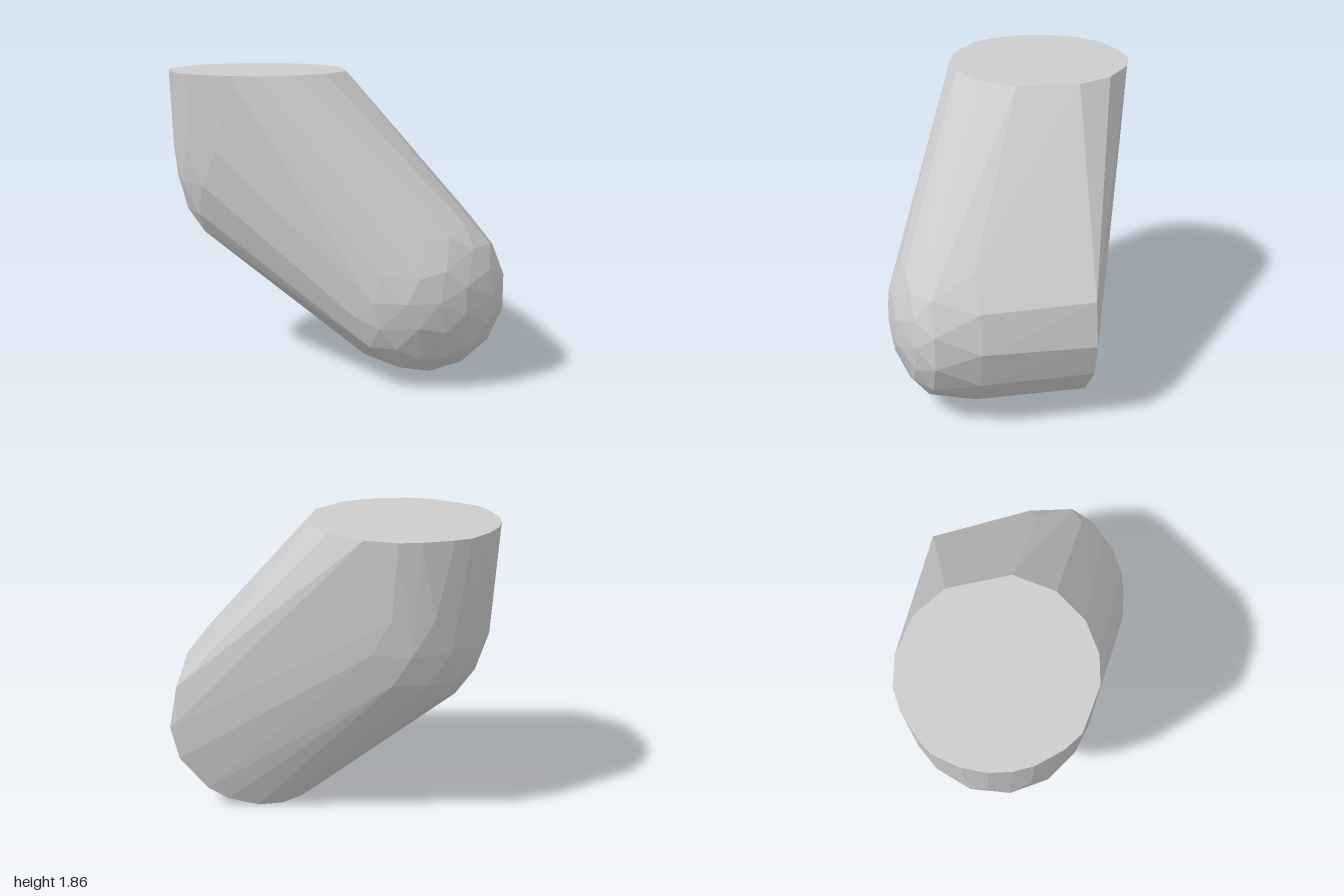
import * as THREE from 'three';
import { ConvexGeometry } from 'three/addons/geometries/ConvexGeometry.js';

const SIDES = 14;

// Rounded end cap, as rings of [height along axis, radius]
function domePoints(rings, place) {
  const points = [];
  rings.forEach(([h, r], row) => {
    const count = r > 0.3 ? SIDES : r > 0 ? 7 : 1;
    for (let i = 0; i < count; i++) {
      const a = ((i + (row % 2) * 0.5) / count) * Math.PI * 2;
      points.push(place(r * Math.cos(a), r * Math.sin(a), h));
    }
  });
  return points;
}

export function createModel() {
  const group = new THREE.Group();
  const grey = new THREE.MeshStandardMaterial({ color: 0xcccccc });
  grey.name = 'light grey';

  // Flat top disc
  const topDisc = [
    [-0.46, -0.86], [-0.33, -0.86], [-0.15, -0.79], [0.04, -0.62], [0.13, -0.4], [0.08, -0.02],
    [-0.1, 0.18], [-0.32, 0.27], [-0.53, 0.27], [-0.7, 0.21], [-0.92, 0.02], [-0.97, -0.1],
    [-1, -0.28], [-0.99, -0.4], [-0.95, -0.53], [-0.87, -0.66], [-0.75, -0.78], [-0.65, -0.82],
  ].map(([x, z]) => new THREE.Vector3(x, 1.86, z));

  // Back rim of the horizontal barrel
  const backRim = [
    [0.18, 0.06], [0.31, 0.01], [0.46, 0], [0.65, 0.05], [0.78, 0.13],
    [0.95, 0.34], [1, 0.55], [0.95, 0.82],
  ].map(([x, y]) => new THREE.Vector3(x, y, -0.28));

  // Front dome, facing +z
  const frontDome = domePoints(
    [[0.4, 0.54], [0.66, 0.475], [0.755, 0.375], [0.835, 0.19], [0.86, 0]],
    (u, v, h) => new THREE.Vector3(0.43 + u, 0.57 + v, h),
  );

  // Lower dome of the upright barrel, facing down
  const lowerDome = domePoints(
    [[1.4, 0.55], [1.18, 0.53], [0.98, 0.47], [0.84, 0.385], [0.75, 0.19], [0.72, 0]],
    (u, v, h) => new THREE.Vector3(-0.43 + u, h, -0.29 + v),
  );

  // One faceted skin stretched round both barrels
  const body = new THREE.Mesh(
    new ConvexGeometry([...topDisc, ...backRim, ...frontDome, ...lowerDome]),
    grey,
  );
  body.name = 'body';
  group.add(body);
  return group;
}
